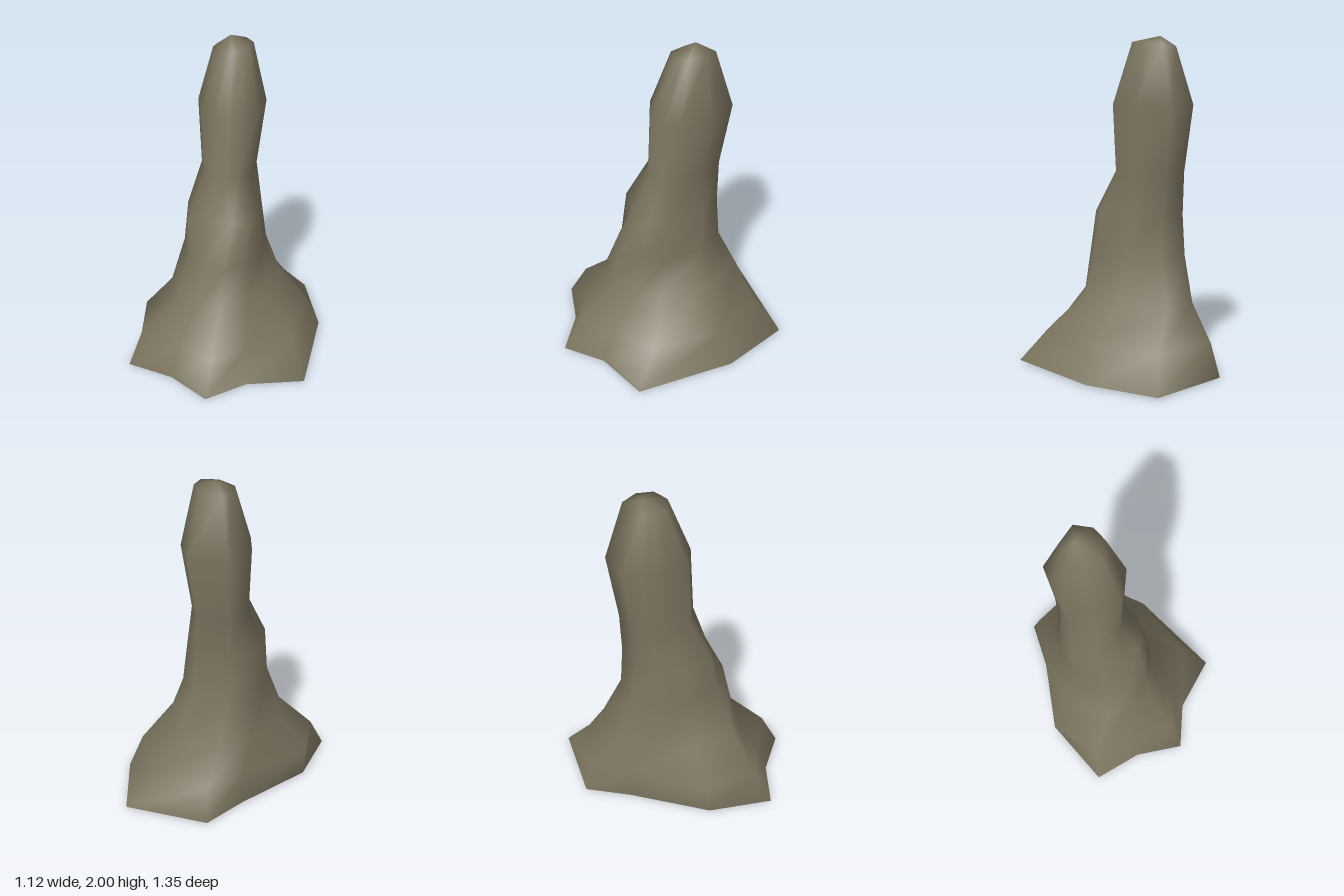
import * as THREE from 'three';

// Outlines seen from above as [x, z], clockwise from the back, ten matching corners each
const foot = [[-0.11, -0.675], [0.41, -0.675], [0.56, -0.24], [0.545, 0.39], [0.2, 0.485],
  [-0.02, 0.67], [-0.27, 0.5], [-0.565, 0.42], [-0.53, 0.02], [-0.25, -0.41]];
const hem = [[-0.09, -0.62], [0.27, -0.55], [0.48, -0.2], [0.44, 0.25], [0.18, 0.39],
  [-0.01, 0.565], [-0.23, 0.43], [-0.5, 0.33], [-0.555, 0], [-0.25, -0.4]];
const skirt = [[-0.12, -0.44], [0.13, -0.48], [0.285, -0.2], [0.25, 0.1], [0.15, 0.22],
  [0, 0.34], [-0.15, 0.31], [-0.3, 0.25], [-0.385, -0.03], [-0.26, -0.26]];
const waist = [[-0.14, -0.355], [0.08, -0.37], [0.2, -0.19], [0.215, 0.07], [0.13, 0.19],
  [0.02, 0.285], [-0.1, 0.26], [-0.22, 0.17], [-0.3, -0.05], [-0.24, -0.22]];
const chest = [[-0.14, -0.335], [0.06, -0.36], [0.16, -0.22], [0.19, 0.03], [0.13, 0.14],
  [0.04, 0.165], [-0.08, 0.155], [-0.23, 0.13], [-0.28, -0.08], [-0.23, -0.22]];
const neck = [[-0.155, -0.4], [0.07, -0.437], [0.178, -0.25], [0.165, -0.05], [0.09, 0.01],
  [0.01, 0.062], [-0.08, 0.03], [-0.17, -0.01], [-0.23, -0.19], [-0.2, -0.3]];

// Scale an outline and move it sideways
const resize = (outline, sx, sz, dx, dz) => outline.map(([x, z]) => [x * sx + dx, z * sz + dz]);
const collar = resize(neck, 0.82, 0.9, -0.016, 0.018);
const crown = resize(neck, 0.58, 0.51, -0.006, -0.11);

// Levels: height, sideways tilt, outline
const levels = [
  [0.01, 0.01, foot],
  [0.21, 0.02, hem],
  [0.43, 0.1, skirt],
  [0.69, 0, waist],
  [0.94, 0, chest],
  [1.2, 0, collar],
  [1.6, 0, neck],
  [1.953, 0.14, crown],
];

// Loft the outlines and close them with a rounded tip
function loftGeometry() {
  const n = foot.length, position = [], index = [];
  for (const [y, tilt, outline] of levels) {
    for (const [x, z] of outline) position.push(x, y + tilt * x, z);
  }
  for (let i = 0; i < levels.length - 1; i++) {
    for (let j = 0; j < n; j++) {
      const k = (j + 1) % n, p = i * n, q = p + n;
      index.push(p + j, q + j, p + k, p + k, q + j, q + k);
    }
  }
  const tip = levels.length * n, last = tip - n;
  position.push(-0.04, 2, -0.24);
  for (let j = 0; j < n; j++) index.push(last + j, tip, last + ((j + 1) % n));

  const g = new THREE.BufferGeometry();
  g.setAttribute('position', new THREE.Float32BufferAttribute(position, 3));
  g.setIndex(index);
  g.computeVertexNormals();
  return g;
}

export function createModel() {
  const group = new THREE.Group();
  group.name = 'stalagmite';
  const stone = new THREE.MeshStandardMaterial({ color: 0x7b745f, side: THREE.DoubleSide });
  stone.name = 'stone';
  // Hollow rock spire, open underneath
  const spire = new THREE.Mesh(loftGeometry(), stone);
  spire.name = 'rockSpire';
  group.add(spire);
  return group;
}
